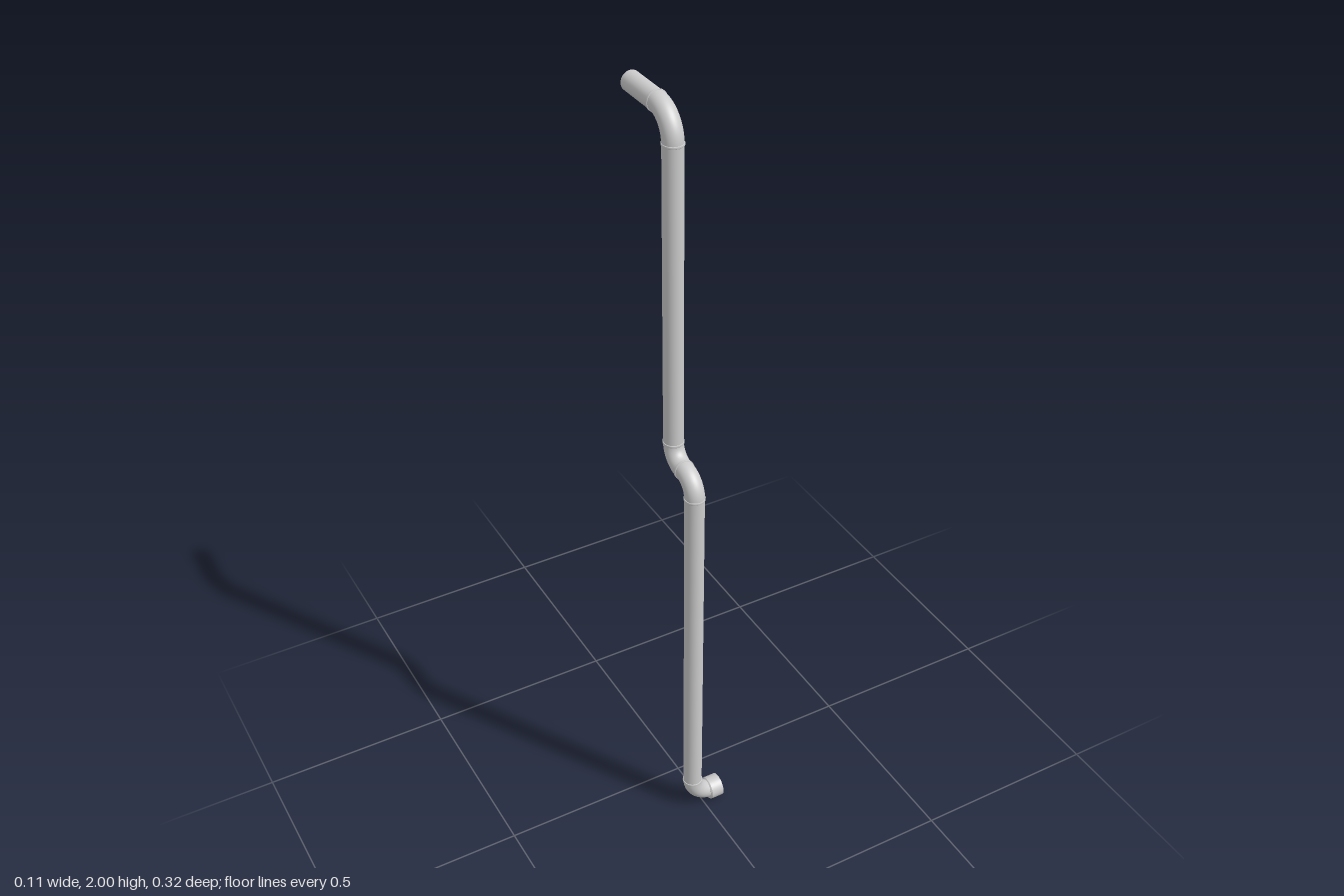
import * as THREE from 'three';

const R = 0.0245, X = -0.0275;      // pipe radius and the x of the vertical run
const Z_UP = 0.026, Z_LOW = 0.128;  // depth of upper and lower pipes
const Y_TOP = 1.975, Y_MID = 1.09, Y_BOT = 0.0305;
const B_TOP = 0.069, B_MID = 0.051, B_BOT = 0.06; // bend radii

const V = (x, y, z) => new THREE.Vector3(x, y, z);

export function createModel() {
  const group = new THREE.Group();
  const mat = new THREE.MeshStandardMaterial({ color: 0xcccccc });

  const add = (name, geometry) => {
    const mesh = new THREE.Mesh(geometry, mat);
    mesh.name = name;
    group.add(mesh);
    return mesh;
  };
  const aim = (mesh, pos, dir) => {
    mesh.position.copy(pos);
    mesh.quaternion.setFromUnitVectors(V(0, 1, 0), dir.clone().normalize());
  };

  // Straight capped pipe between two points
  const pipe = (name, a, b, r = R) => {
    const d = b.clone().sub(a);
    aim(add(name, new THREE.CylinderGeometry(r, r, d.length(), 40)), a.clone().lerp(b, 0.5), d);
  };

  // Thin raised rim where two pieces join
  const rim = (name, p, dir) => {
    const profile = [[R - 0.002, -0.003], [0.0255, -0.003], [0.0263, -0.002], [0.0263, 0.002], [0.0255, 0.003], [R - 0.002, 0.003]];
    const pts = profile.map(([r, y]) => new THREE.Vector2(r, y));
    aim(add(name, new THREE.LatheGeometry(pts, 40)), p, dir);
  };

  // Quarter bend leaving `start` along `u` and ending along `v`
  const elbow = (name, start, u, v, bend) => {
    const arc = new THREE.Curve();
    arc.getPoint = (t, target = V(0, 0, 0)) => {
      const a = t * Math.PI / 2;
      return target.copy(start).addScaledVector(u, bend * Math.sin(a)).addScaledVector(v, bend * (1 - Math.cos(a)));
    };
    add(name, new THREE.TubeGeometry(arc, 24, R + 0.0002, 40, false));
  };

  const up = V(0, 1, 0), down = V(0, -1, 0), back = V(0, 0, -1), front = V(0, 0, 1), left = V(1, 0, 0);

  // Key joints along the run
  const topOut = V(X, Y_TOP, Z_UP - B_TOP);
  const upperTop = V(X, Y_TOP - B_TOP, Z_UP);
  const upperBottom = V(X, Y_MID + B_MID, Z_UP);
  const middle = V(X, Y_MID, Z_LOW - B_MID);
  const lowerTop = V(X, Y_MID - B_MID, Z_LOW);
  const lowerBottom = V(X, Y_BOT + B_BOT, Z_LOW);

  // Straight pipes
  pipe('topOutletPipe', topOut, V(X, Y_TOP, -0.16));
  pipe('upperPipe', upperTop, upperBottom);
  pipe('lowerPipe', lowerTop, lowerBottom);

  // Bends
  elbow('topElbow', upperTop, up, back, B_TOP);
  elbow('upperOffsetElbow', upperBottom, down, front, B_MID);
  elbow('lowerOffsetElbow', lowerTop, up, back, B_MID);
  elbow('bottomElbow', lowerBottom, down, left, B_BOT);

  // Joint rims
  rim('topOutletRim', topOut, back);
  rim('upperPipeTopRim', upperTop, up);
  rim('upperPipeBottomRim', upperBottom, up);
  rim('offsetRim', middle, back);
  rim('lowerPipeTopRim', lowerTop, up);
  rim('lowerPipeBottomRim', lowerBottom, up);

  // Wider end socket with a chamfered shoulder
  const end = 0.0525, shoulder = 0.0195;
  pipe('endSocket', V(shoulder, Y_BOT, Z_LOW), V(end, Y_BOT, Z_LOW), 0.0305);
  const chamfer = add('socketShoulder', new THREE.CylinderGeometry(0.0305, 0.0275, 0.0035, 40));
  aim(chamfer, V(shoulder - 0.00175, Y_BOT, Z_LOW), left);

  return group;
}
